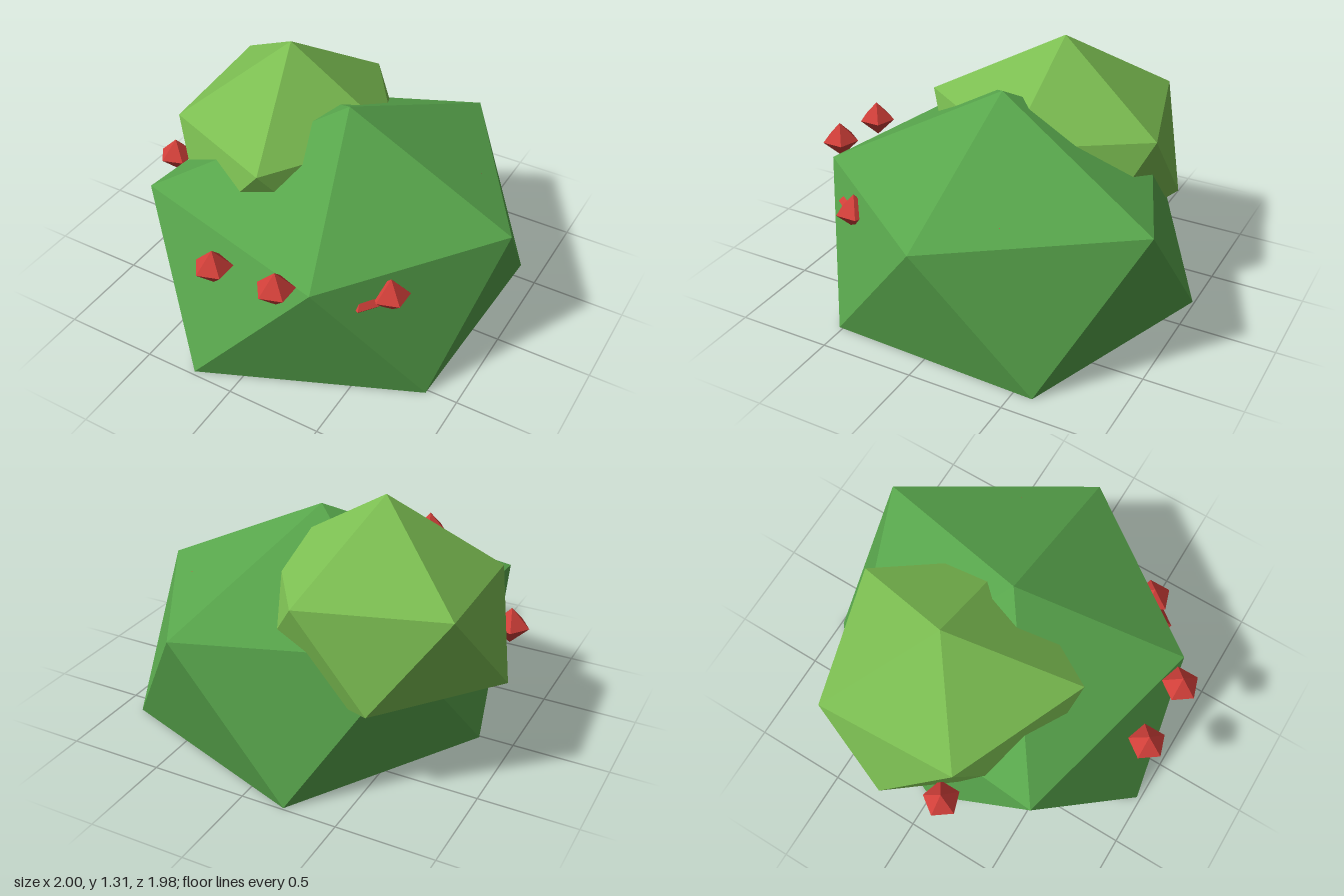
import * as THREE from 'three';

// Faceted clump: an apex, a five-point shoulder ring, a five-point base ring and a flat bottom
function clumpGeometry(apex, upper, lower) {
  const index = [];
  for (let i = 0; i < 5; i++) {
    const j = (i + 1) % 5;
    const u = 1 + i, u2 = 1 + j, l = 6 + i, l2 = 6 + j;
    index.push(0, u2, u, u, u2, l, l, u2, l2);
    if (i > 0 && i < 4) index.push(6, l, l2);
  }
  const geo = new THREE.BufferGeometry();
  geo.setAttribute('position', new THREE.Float32BufferAttribute([apex, ...upper, ...lower].flat(), 3));
  geo.setIndex(index);
  const flat = geo.toNonIndexed();
  flat.computeVertexNormals();
  return flat;
}

function flatMaterial(name, color) {
  const m = new THREE.MeshStandardMaterial({ color, flatShading: true });
  m.name = name;
  return m;
}

export function createModel() {
  const group = new THREE.Group();
  group.name = 'berryBush';
  const leafGreen = flatMaterial('leaf green', 0x58a64c);
  const lightGreen = flatMaterial('light leaf green', 0x7bbd51);
  const berryRed = flatMaterial('berry red', 0xd03f39);

  const add = (name, geo, mat) => {
    const mesh = new THREE.Mesh(geo, mat);
    mesh.name = name;
    group.add(mesh);
    return mesh;
  };

  // Large main clump standing on the ground
  add('mainFoliage', clumpGeometry(
    [0.09, 1.135, -0.02],
    [[1, 0.68, -0.02], [0.37, 0.685, 0.84], [-0.73, 0.72, 0.575], [-0.64, 0.69, -0.55], [0.4, 0.72, -0.97]],
    [[0.84, 0, 0.52], [-0.23, 0, 0.98], [-0.82, 0, -0.01], [-0.22, 0, -0.99], [0.88, 0, -0.6]]
  ), leafGreen);

  // Smaller, lighter clump sunk into the top
  add('upperFoliage', clumpGeometry(
    [-0.335, 1.31, -0.16],
    [[0.28, 0.93, -0.16], [-0.12, 0.96, 0.51], [-0.82, 0.9, 0.19], [-0.86, 0.93, -0.55], [-0.14, 0.92, -0.76]],
    [[0.17, 0.46, 0.21], [-0.53, 0.46, 0.44], [-1, 0.46, -0.165], [-0.53, 0.46, -0.76], [0.18, 0.46, -0.55]]
  ), lightGreen);

  // Berries: five-sided gems, some partly buried in the leaves
  const berryGeo = new THREE.SphereGeometry(0.097, 5, 2);
  const berries = [
    [-0.125, 0.69, 0.895, 0], [0.222, 0.71, 0.895, 0], [-0.89, 0.596, 0.155, 0],
    [0.63, 0.572, 0.53, 0], [0.515, 0.548, 0.6, -0.64], [0.69, 0.655, -0.33, 0],
  ];
  berries.forEach(([x, y, z, turn], i) => {
    const berry = add('berry' + (i + 1), berryGeo, berryRed);
    berry.position.set(x, y, z);
    berry.rotation.y = turn;
  });

  return group;
}
